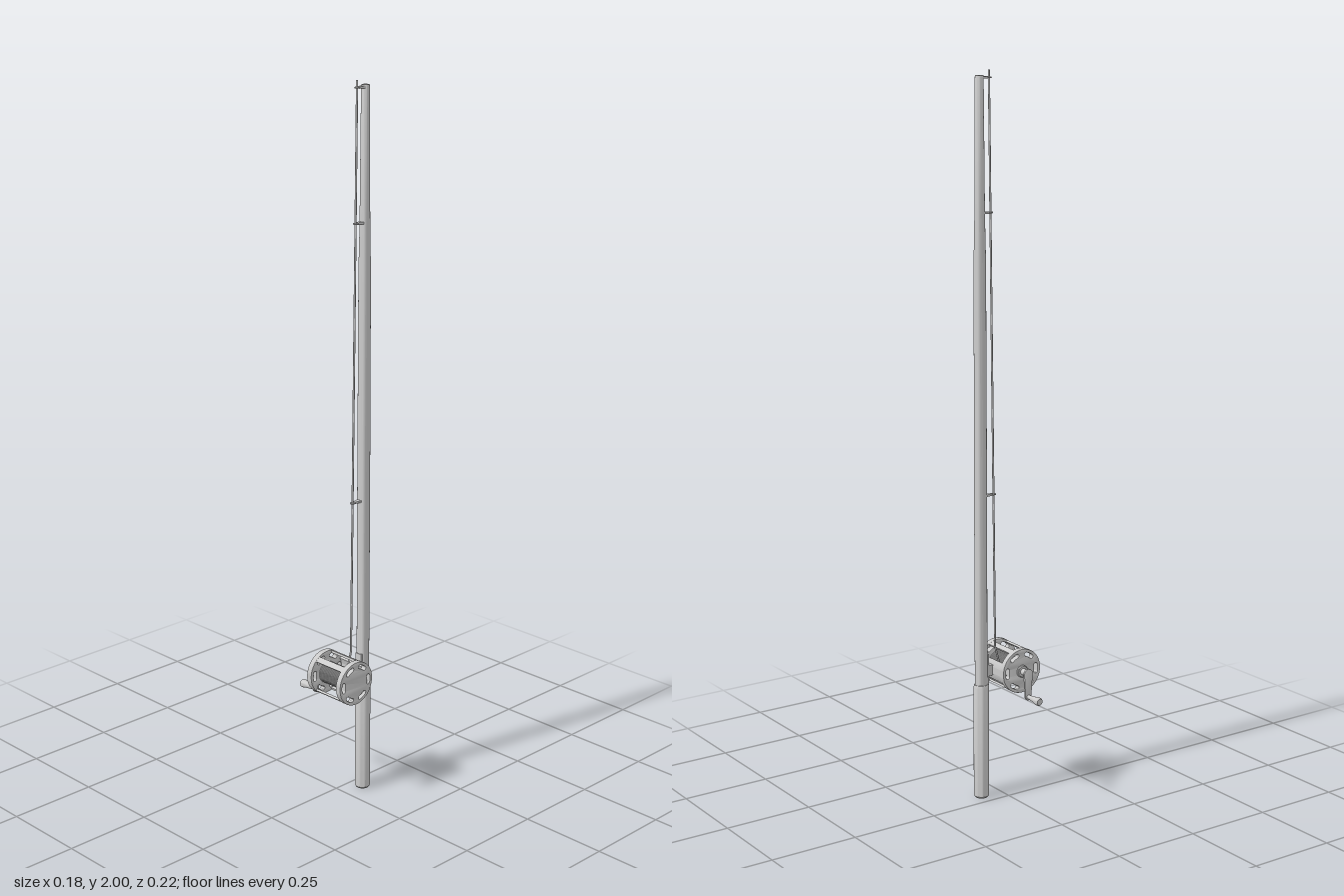
import * as THREE from 'three';
import { toCreasedNormals } from 'three/addons/utils/BufferGeometryUtils.js';

const ROD_X = 0.065, ROD_Z = 0.04;
const V = (x, y) => new THREE.Vector2(x, y);

export function createModel() {
  const root = new THREE.Group();
  const mat = new THREE.MeshStandardMaterial({ color: 0xcccccc });

  const add = (parent, name, geo, x = 0, y = 0, z = 0) => {
    const mesh = new THREE.Mesh(geo, mat);
    mesh.name = name;
    mesh.position.set(x, y, z);
    parent.add(mesh);
    return mesh;
  };
  const lathe = (pts, seg = 32) =>
    toCreasedNormals(new THREE.LatheGeometry(pts.map(p => V(...p)), seg), 0.6);
  const extrude = (shape, depth, bevel = 0) => toCreasedNormals(new THREE.ExtrudeGeometry(shape, {
    depth: depth - 2 * bevel, bevelEnabled: bevel > 0, bevelSize: bevel, bevelThickness: bevel,
    bevelOffset: -bevel, bevelSegments: 2, curveSegments: 24,
  }).translate(0, 0, bevel), 0.6);

  // Grip and tapering rod
  add(root, 'grip', lathe([[0, 0], [0.018, 0], [0.0215, 0.005], [0.0215, 0.322], [0.019, 0.33], [0, 0.33]]),
    ROD_X, 0, ROD_Z);
  add(root, 'rod', lathe([[0, 0.32], [0.0175, 0.32], [0.0175, 0.9], [0.0165, 1.5], [0.014, 1.62],
    [0.0115, 1.982], [0.0105, 1.986], [0, 1.986]]), ROD_X, 0, ROD_Z);

  // Line guides: tapered stem with a ring around the line
  const lineX = y => 0.018 + (y - 0.43) * 0.0105;
  for (const y of [0.865, 1.63, 1.98]) {
    const guide = new THREE.Group();
    guide.name = 'lineGuide';
    guide.position.set(lineX(y), y, ROD_Z);
    root.add(guide);
    add(guide, 'guideRing', new THREE.TorusGeometry(0.0055, 0.002, 8, 20).rotateX(Math.PI / 2));
    const reach = ROD_X - 0.008 - lineX(y);
    const stem = new THREE.Shape([V(0.005, -0.004), V(reach, -0.009), V(reach, 0.009), V(0.005, 0.004)]);
    add(guide, 'guideStem', extrude(stem, 0.006, 0.001).translate(0, 0, -0.003).rotateX(Math.PI / 2));
  }

  // Line from the spool up to the tip
  const path = new THREE.CurvePath();
  const stops = [[0.002, 0.372], [0.018, 0.43], [lineX(2), 2]].map(([x, y]) => new THREE.Vector3(x, y, ROD_Z));
  path.add(new THREE.LineCurve3(stops[0], stops[1]));
  path.add(new THREE.LineCurve3(stops[1], stops[2]));
  add(root, 'line', new THREE.TubeGeometry(path, 80, 0.0028, 8));

  // Reel, its axis along z
  const reel = new THREE.Group();
  reel.name = 'reel';
  reel.position.set(-0.027, 0.368, 0);
  root.add(reel);
  const R = 0.0625;

  // Side plates with six curved slots
  const plate = new THREE.Shape().absarc(0, 0, R, 0, Math.PI * 2);
  for (let i = 0; i < 6; i++) {
    const a = i * Math.PI / 3, w = 0.2, end = 0.0055, mid = 0.048;
    const slot = new THREE.Path();
    slot.absarc(0, 0, mid + end, a - w, a + w, false);
    slot.absarc(mid * Math.cos(a + w), mid * Math.sin(a + w), end, a + w, a + w + Math.PI, false);
    slot.absarc(0, 0, mid - end, a + w, a - w, true);
    slot.absarc(mid * Math.cos(a - w), mid * Math.sin(a - w), end, a - w + Math.PI, a - w + 2 * Math.PI, false);
    plate.holes.push(slot);
  }
  for (const z of [-0.025, 0.089]) add(reel, 'sidePlate', extrude(plate, 0.017, 0.0015), 0, 0, z);

  // Curved frame bars; the widest faces the rod
  for (const [deg, half] of [[0, 28], [67, 7.5], [127, 8], [-67, 7.5], [-127, 8]]) {
    const a = THREE.MathUtils.degToRad(deg - half), b = THREE.MathUtils.degToRad(deg + half);
    const bar = new THREE.Shape();
    bar.absarc(0, 0, R - 0.0008, a, b, false);
    bar.absarc(0, 0, R - 0.007, b, a, true);
    add(reel, 'frameBar', extrude(bar, 0.102), 0, 0, -0.011);
  }

  // Spool wound with line
  const spool = [[0, -0.01], [0.029, -0.01]];
  const turns = 18, pitch = 0.1 / turns;
  for (let i = 0; i < turns; i++)
    for (const [r, t] of [[0.0285, 0], [0.0305, 0.25], [0.031, 0.5], [0.0305, 0.75]])
      spool.push([r, -0.01 + (i + t) * pitch]);
  spool.push([0.029, 0.09], [0, 0.09]);
  add(reel, 'spool', lathe(spool, 40).rotateX(Math.PI / 2));

  // Foot joining the reel to the rod
  add(reel, 'reelFoot', new THREE.BoxGeometry(0.022, 0.03, 0.022), 0.07, 0, ROD_Z);
  add(reel, 'reelSeat', new THREE.BoxGeometry(0.008, 0.09, 0.022), 0.077, 0.002, ROD_Z);

  // Crank at the back: hub, arm and knob
  add(reel, 'crankHub', lathe([[0, 0.02], [0.017, 0.02], [0.017, 0.029], [0.015, 0.031], [0.009, 0.031],
    [0.009, 0.055], [0, 0.055]]).rotateX(-Math.PI / 2));
  const arm = new THREE.Shape();
  arm.absarc(0, 0, 0.014, 0, Math.PI, false);
  arm.absarc(0, -0.066, 0.01, Math.PI, Math.PI * 2, false);
  add(reel, 'crankArm', extrude(arm, 0.006, 0.001), 0, 0, -0.057);
  add(reel, 'crankKnob', lathe([[0, 0.05], [0.006, 0.05], [0.006, 0.064], [0.0085, 0.085], [0.0115, 0.1],
    [0.0115, 0.106], [0.009, 0.11], [0, 0.11]], 24).rotateX(-Math.PI / 2), 0, -0.066, 0);

  return root;
}
